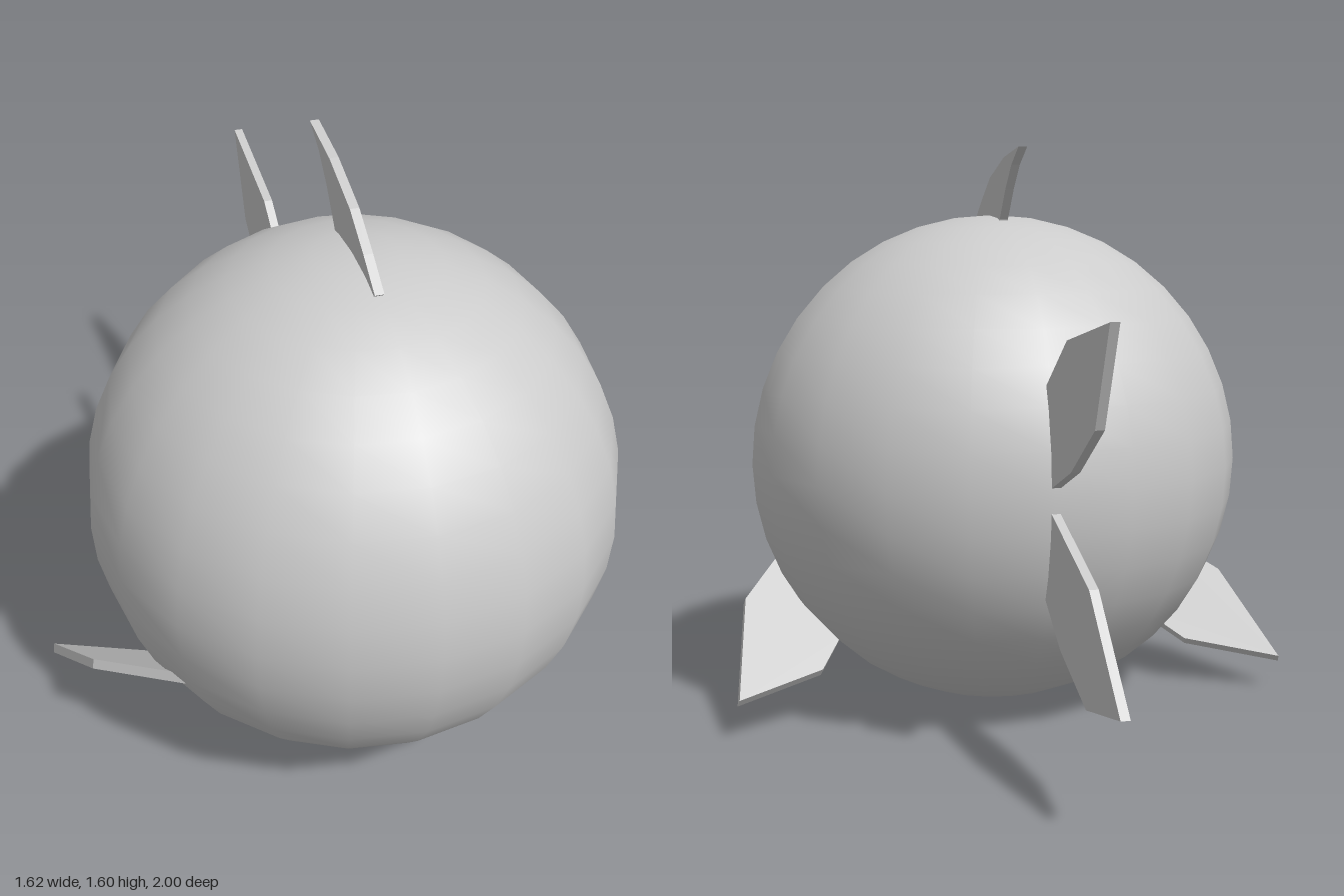
import * as THREE from 'three';

const material = new THREE.MeshStandardMaterial({ color: 0xcccccc });
const CX = 0.02; // centre plane of the body

// Flat plate of the given thickness through a planar loop of 3D corners.
// The plane is set by corners a, b and c of the loop.
function plate(name, corners, thickness, [a, b, c]) {
  const pts = corners.map((p) => new THREE.Vector3(...p));
  const origin = pts[a];
  const u = pts[b].clone().sub(origin).normalize();
  const n = u.clone().cross(pts[c].clone().sub(origin)).normalize();
  const v = n.clone().cross(u);
  const flat = pts.map((p) => {
    const d = p.clone().sub(origin);
    return new THREE.Vector2(d.dot(u), d.dot(v));
  });
  const geometry = new THREE.ExtrudeGeometry(new THREE.Shape(flat), { depth: thickness, bevelEnabled: false });
  geometry.translate(0, 0, -thickness / 2);
  geometry.applyMatrix4(new THREE.Matrix4().makeBasis(u, v, n).setPosition(origin));
  const mesh = new THREE.Mesh(geometry, material);
  mesh.name = name;
  return mesh;
}

// Upright fin on the centre plane, from [z, y] corners
function uprightFin(name, profile) {
  return plate(name, profile.map(([z, y]) => [CX, y, z]), 0.024, [0, 2, 4]);
}

// Side fin: top root, shoulder, tip, lower corner, lower root; roots run on into the body
function sideFin(name, [topRoot, shoulder, tip, lower, lowRoot]) {
  const extend = (from, to, k) => to.map((t, i) => t + (t - from[i]) * k);
  const corners = [
    topRoot, shoulder, tip, lower, lowRoot,
    extend(lower, lowRoot, 0.6), extend(shoulder, topRoot, 0.3),
  ];
  return plate(name, corners, 0.025, [0, 2, 4]);
}

export function createModel() {
  const model = new THREE.Group();

  // Round body
  const body = new THREE.Mesh(new THREE.SphereGeometry(0.71, 20, 20), material);
  body.name = 'body';
  body.position.set(CX, 0.713, 0.29);
  model.add(body);

  // Swept back fin on top
  model.add(uprightFin('dorsalFin', [
    [0.47, 1.405], [0.38, 1.465], [0.27, 1.53], [0.1, 1.582], [-0.07, 1.605],
    [0.01, 1.56], [0.08, 1.495], [0.15, 1.41], [0.17, 1.34], [0.4, 1.34],
  ]));

  // Two tail lobes
  model.add(uprightFin('upperTailFin', [
    [-0.36, 0.99], [-0.55, 1.12], [-0.9, 1.187], [-0.79, 0.93],
    [-0.59, 0.8], [-0.41, 0.73], [-0.3, 0.71], [-0.26, 0.92],
  ]));
  model.add(uprightFin('lowerTailFin', [
    [-0.41, 0.667], [-0.75, 0.545], [-1, 0.303], [-0.73, 0.245],
    [-0.5, 0.33], [-0.35, 0.43], [-0.25, 0.5], [-0.3, 0.7],
  ]));

  // Slanted side fins
  model.add(sideFin('leftSideFin', [
    [0.65, 0.41, 0.43], [0.762, 0.325, 0.26], [0.808, 0.11, -0.04], [0.565, 0.145, 0.09], [0.5, 0.205, 0.2],
  ]));
  model.add(sideFin('rightSideFin', [
    [-0.57, 0.405, 0.56], [-0.73, 0.305, 0.36], [-0.81, 0.095, 0.06], [-0.56, 0.13, 0.2], [-0.46, 0.2, 0.33],
  ]));

  return model;
}
